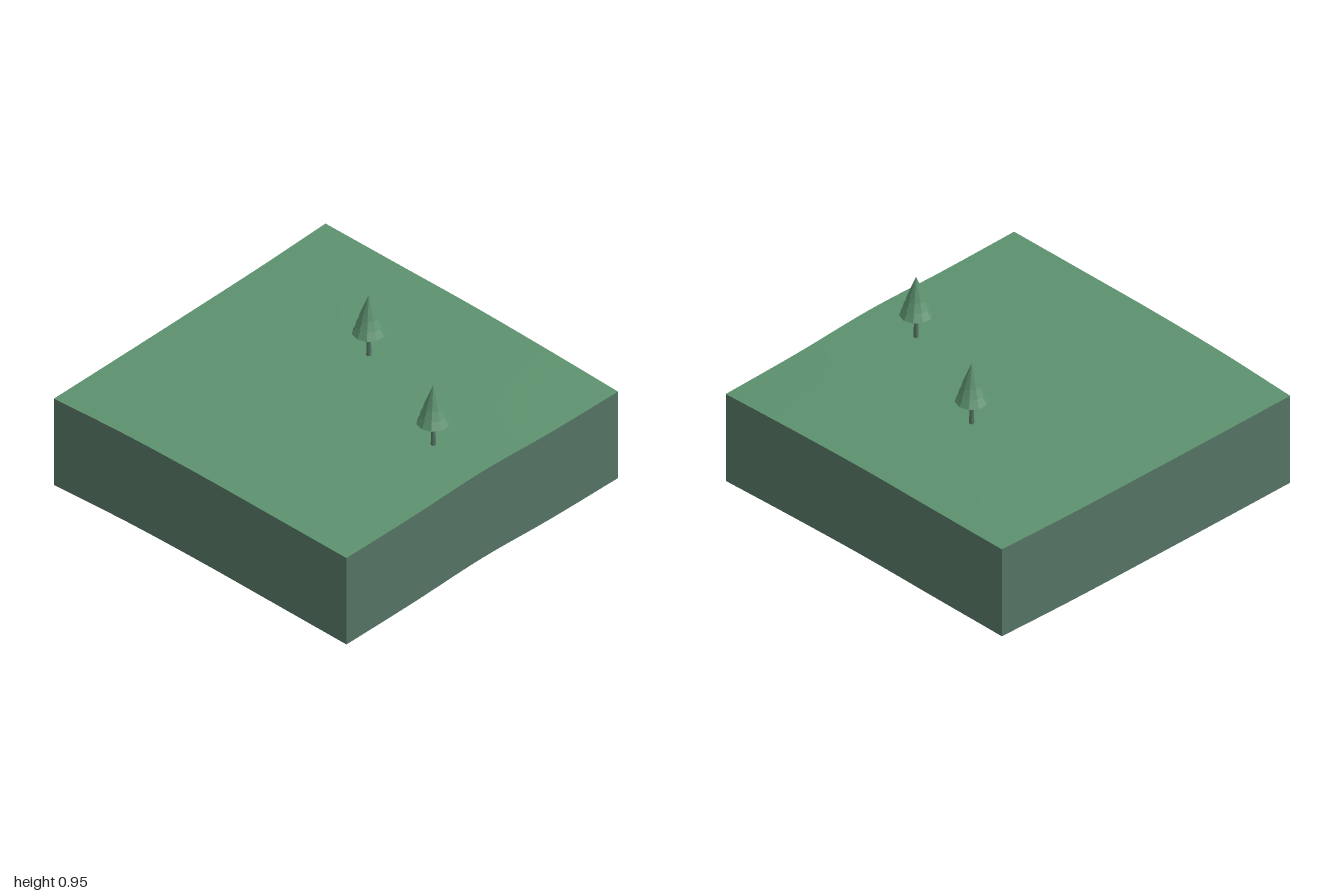
import * as THREE from 'three';

const DEPTH = 0.532;
const STEPS = 24;

// Control heights: rows run z = -1..1, columns x = -1..1
const HEIGHTS = [
  [0.598, 0.589, 0.581, 0.561, 0.535],
  [0.582, 0.585, 0.583, 0.567, 0.544],
  [0.575, 0.584, 0.583, 0.573, 0.566],
  [0.570, 0.584, 0.583, 0.571, 0.557],
  [0.567, 0.583, 0.582, 0.570, 0.557],
];

// Smooth curve through five evenly spaced values, t in -1..1
function spline(v, t) {
  const s = (t + 1) * 2;
  const i = Math.min(3, Math.max(0, Math.floor(s)));
  const f = s - i;
  const b = v[i], c = v[i + 1];
  const a = i > 0 ? v[i - 1] : 2 * b - c;
  const d = i < 3 ? v[i + 2] : 2 * c - b;
  return b + 0.5 * f * (c - a + f * (2 * a - 5 * b + 4 * c - d + f * (3 * (b - c) + d - a)));
}

const heightAt = (x, z) => spline(HEIGHTS.map((row) => spline(row, x)), z);

// Rolling ground surface
function makeGround(material) {
  const geo = new THREE.PlaneGeometry(2, 2, STEPS, STEPS).rotateX(-Math.PI / 2);
  const p = geo.attributes.position;
  for (let i = 0; i < p.count; i++) p.setY(i, heightAt(p.getX(i), p.getZ(i)));
  geo.computeVertexNormals();
  const mesh = new THREE.Mesh(geo, material);
  mesh.name = 'ground';
  return mesh;
}

// One side wall hanging from the ground edge; turn 0 is the front
function makeWall(name, turn, material) {
  const geo = new THREE.PlaneGeometry(2, 1, STEPS, 1).translate(0, 0, 1).rotateY(turn * Math.PI / 2);
  const p = geo.attributes.position;
  for (let i = 0; i < p.count; i++) {
    const drop = p.getY(i) > 0 ? 0 : DEPTH;
    p.setY(i, Math.max(0, heightAt(p.getX(i), p.getZ(i)) - drop));
  }
  geo.computeVertexNormals();
  const mesh = new THREE.Mesh(geo, material);
  mesh.name = name;
  return mesh;
}

// Fir tree: thin trunk and three stacked cones
function makeTree(x, z, leaf, bark) {
  const tree = new THREE.Group();
  tree.name = 'tree';
  const trunk = new THREE.Mesh(new THREE.CylinderGeometry(0.011, 0.013, 0.17, 8), bark);
  trunk.position.y = 0.075;
  trunk.name = 'trunk';
  tree.add(trunk);
  const tiers = [[0.086, 0.138, 0.14], [0.07, 0.186, 0.135], [0.052, 0.236, 0.131]];
  tiers.forEach(([radius, base, height], i) => {
    const cone = new THREE.Mesh(new THREE.ConeGeometry(radius, height, 10), leaf);
    cone.position.y = base + height / 2;
    cone.name = 'foliage' + (i + 1);
    tree.add(cone);
  });
  tree.position.set(x, heightAt(x, z), z);
  return tree;
}

export function createModel() {
  const grass = new THREE.MeshStandardMaterial({ color: 0x5c916e, side: THREE.DoubleSide });
  grass.name = 'grass green';
  const earth = new THREE.MeshStandardMaterial({ color: 0x557464, side: THREE.DoubleSide });
  earth.name = 'grey green';
  const leaf = new THREE.MeshStandardMaterial({ color: 0x5c916e, flatShading: true });
  leaf.name = 'foliage green';

  const model = new THREE.Group();
  model.name = 'terrainBlock';
  model.add(makeGround(grass));
  ['frontWall', 'leftWall', 'backWall', 'rightWall'].forEach((name, i) => model.add(makeWall(name, i, earth)));
  model.add(makeTree(-0.085, -0.333, leaf, earth));
  model.add(makeTree(0.665, 0, leaf, earth));
  return model;
}
